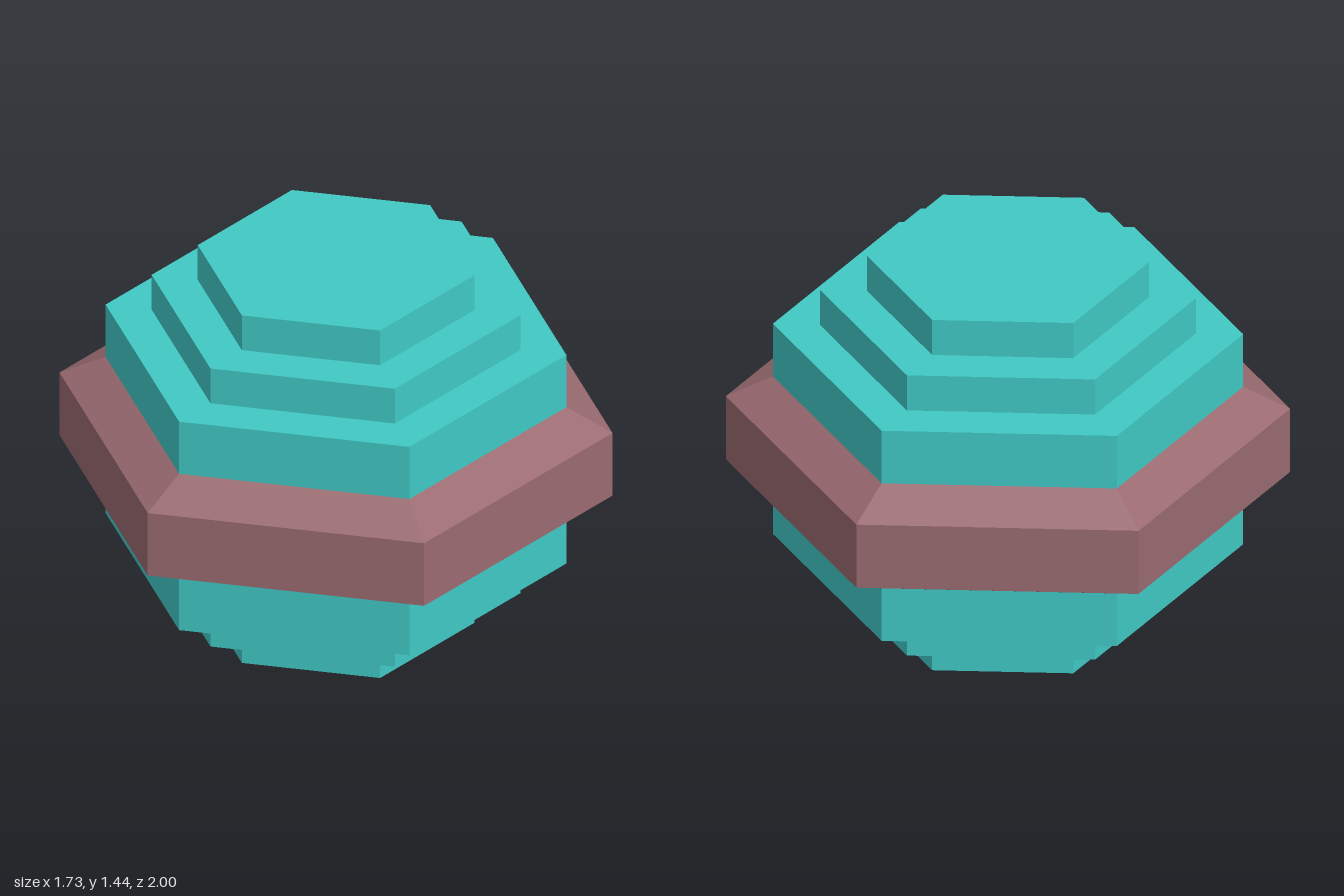
import * as THREE from 'three';

const teal = new THREE.MeshStandardMaterial({ color: 0x40c8c4, flatShading: true });
const mauve = new THREE.MeshStandardMaterial({ color: 0x996a70, flatShading: true });
const HEIGHT = 1.444;

// Hexagonal solid turned from a [radius, y] profile listed bottom to top
function hexTurned(name, profile, material) {
  const points = profile.map(([r, y]) => new THREE.Vector2(r, y));
  const geometry = new THREE.LatheGeometry(points, 6).toNonIndexed();
  geometry.computeVertexNormals();
  const mesh = new THREE.Mesh(geometry, material);
  mesh.name = name;
  return mesh;
}

export function createModel() {
  const model = new THREE.Group();
  model.name = 'steppedHexOrb';

  // Three steps widening from the base up to the belt
  const steps = [[0.5, 0, 0.1444], [0.6667, 0.1444, 0.2889], [0.8333, 0.2889, 0.5055]];
  const lower = [[0, 0]];
  for (const [r, y0, y1] of steps) lower.push([r, y0], [r, y1]);

  // The upper steps mirror the lower ones
  const upper = lower.map(([r, y]) => [r, HEIGHT - y]).reverse();

  model.add(hexTurned('lowerSteps', lower, teal));
  model.add(hexTurned('upperSteps', upper, teal));

  // Wide belt with bevelled upper and lower rims
  const belt = [[0.8333, 0.5055], [1, 0.592], [1, 0.852], [0.8333, HEIGHT - 0.5055]];
  model.add(hexTurned('belt', belt, mauve));

  return model;
}
